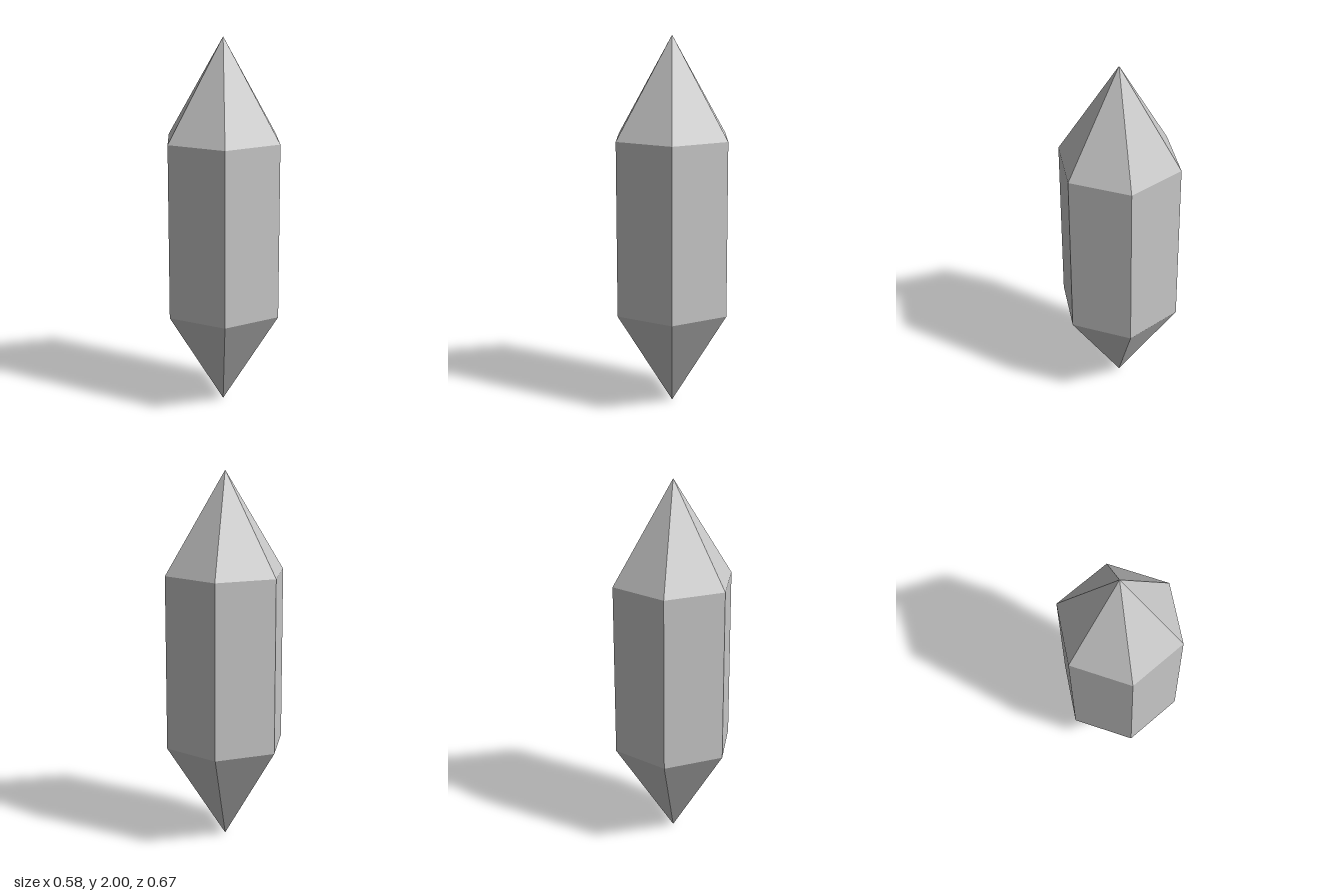
import * as THREE from 'three';

const RADIUS = 0.333, LOW = 0.533, HIGH = 1.467, TOP = 2, SIDES = 6;

export function createModel() {
  const model = new THREE.Group();
  model.name = 'crystal';
  const grey = new THREE.MeshStandardMaterial({ color: 0xc8c8c8, flatShading: true });
  grey.name = 'crystal grey';

  // One open six-sided band between two heights; a zero radius makes a point
  const addBand = (name, bottomRadius, topRadius, y0, y1) => {
    const geometry = new THREE.CylinderGeometry(topRadius, bottomRadius, y1 - y0, SIDES, 1, true);
    const mesh = new THREE.Mesh(geometry, grey);
    mesh.name = name;
    mesh.position.y = (y0 + y1) / 2;
    model.add(mesh);
  };

  addBand('lowerPoint', 0, RADIUS, 0, LOW);
  addBand('shaft', RADIUS, RADIUS, LOW, HIGH);
  addBand('upperPoint', RADIUS, 0, HIGH, TOP);
  return model;
}
